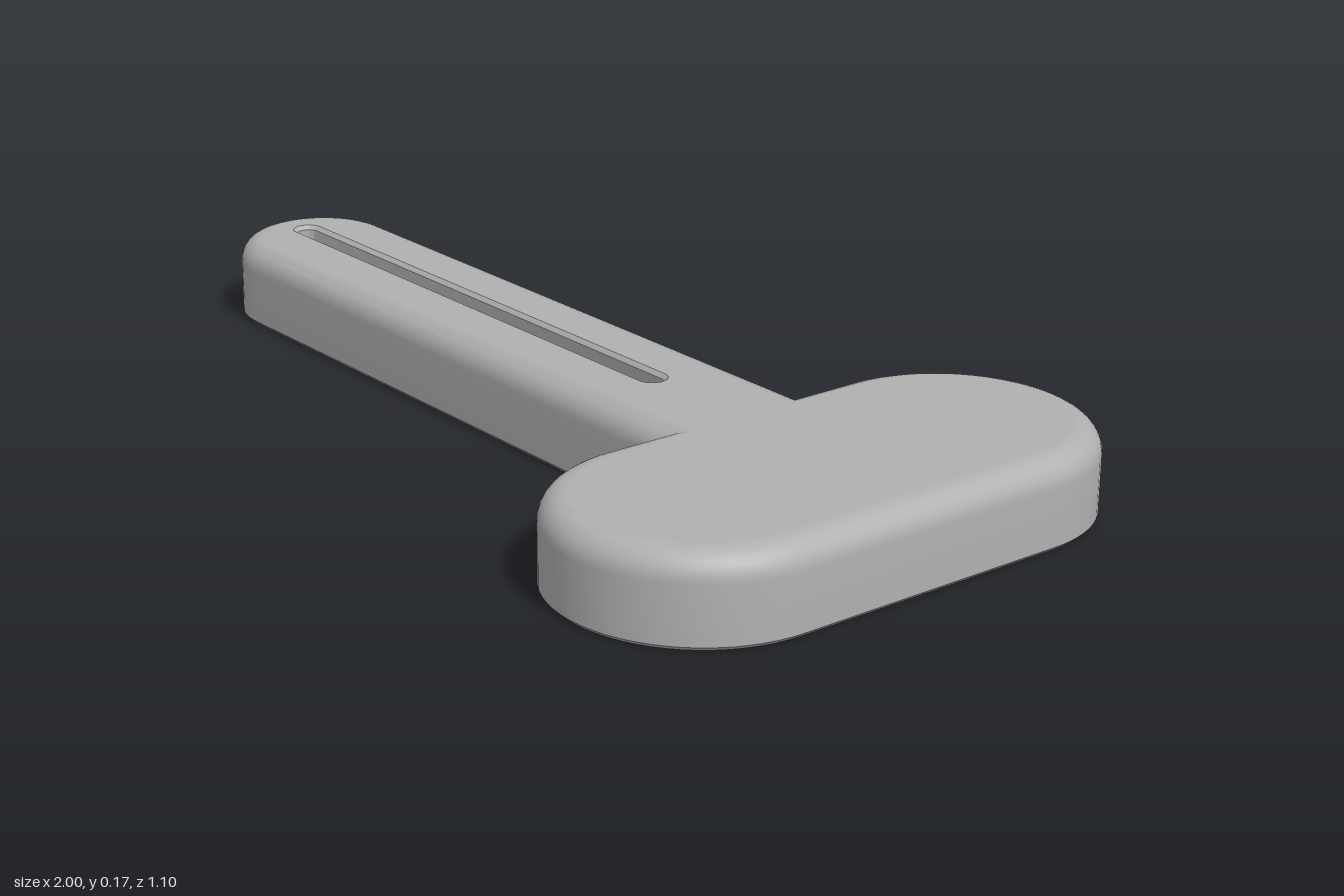
import * as THREE from 'three';
import { toCreasedNormals } from 'three/addons/utils/BufferGeometryUtils.js';

const HEIGHT = 0.165, FILLET = 0.05, CHAMFER = 0.008;
const V = (x, y) => new THREE.Vector2(x, y);

// Points of an arc, counter-clockwise, angles in units of PI
function arc(cx, cy, r, from, to, steps) {
  return Array.from({ length: steps + 1 }, (_, i) => {
    const a = Math.PI * (from + (to - from) * i / steps);
    return V(cx + r * Math.cos(a), cy + r * Math.sin(a));
  });
}

// T-shaped outline moved inwards by d
function bodyRing(d) {
  const head = 0.265 - d, bar = 0.163 - d, join = 0.47 + d;
  return [
    ...arc(0.735, 0.285, head, 0, 1, 32),
    V(join, bar),
    ...arc(-0.837, 0, bar, 0.5, 1.5, 24),
    V(join, -bar),
    ...arc(0.735, -0.285, head, 1, 2, 32),
  ];
}

// Slot outline, clockwise, widened by d
function slotRing(d) {
  const r = 0.022 + d;
  return [...arc(0.262, 0, r, -0.5, 0.5, 16), ...arc(-0.882, 0, r, 0.5, 1.5, 16)].reverse();
}

// Wall through the rings given by [offset, height] pairs
function loft(ring, profile) {
  const pos = [];
  const rings = profile.map(([d, y]) => ring(d).map(p => [p.x, y, -p.y]));
  for (let j = 0; j < rings.length - 1; j++) {
    const lo = rings[j], hi = rings[j + 1], n = lo.length;
    for (let i = 0; i < n; i++) {
      const k = (i + 1) % n;
      pos.push(...lo[i], ...lo[k], ...hi[k], ...lo[i], ...hi[k], ...hi[i]);
    }
  }
  const g = new THREE.BufferGeometry();
  g.setAttribute('position', new THREE.Float32BufferAttribute(pos, 3));
  return toCreasedNormals(g, 0.6);
}

// Flat face with the slot cut out
function cap(inset, slotOffset, up) {
  const shape = new THREE.Shape(bodyRing(inset));
  shape.holes.push(new THREE.Path(slotRing(slotOffset)));
  const g = new THREE.ShapeGeometry(shape);
  g.rotateX(up ? -Math.PI / 2 : Math.PI / 2);
  return g.translate(0, up ? HEIGHT : 0, 0);
}

export function createModel() {
  const grey = new THREE.MeshStandardMaterial({ color: 0xb0b0b0 });
  grey.name = 'grey';
  const group = new THREE.Group();
  group.name = 'slottedTee';
  const add = (name, geometry) => {
    const mesh = new THREE.Mesh(geometry, grey);
    mesh.name = name;
    group.add(mesh);
  };

  // Outer wall: small chamfer below, round edge above
  const wall = [[CHAMFER, 0], [0, CHAMFER]];
  for (let i = 0; i <= 8; i++) {
    const a = Math.PI / 2 * i / 8;
    wall.push([FILLET * (1 - Math.cos(a)), HEIGHT - FILLET + FILLET * Math.sin(a)]);
  }
  add('outerWall', loft(bodyRing, wall));

  // Slot wall with a fine chamfer on both rims
  add('slotWall', loft(slotRing, [
    [CHAMFER, 0], [0, CHAMFER], [0, HEIGHT - CHAMFER], [CHAMFER, HEIGHT],
  ]));

  add('topFace', cap(FILLET, CHAMFER, true));
  add('bottomFace', cap(CHAMFER, CHAMFER, false));
  return group;
}
